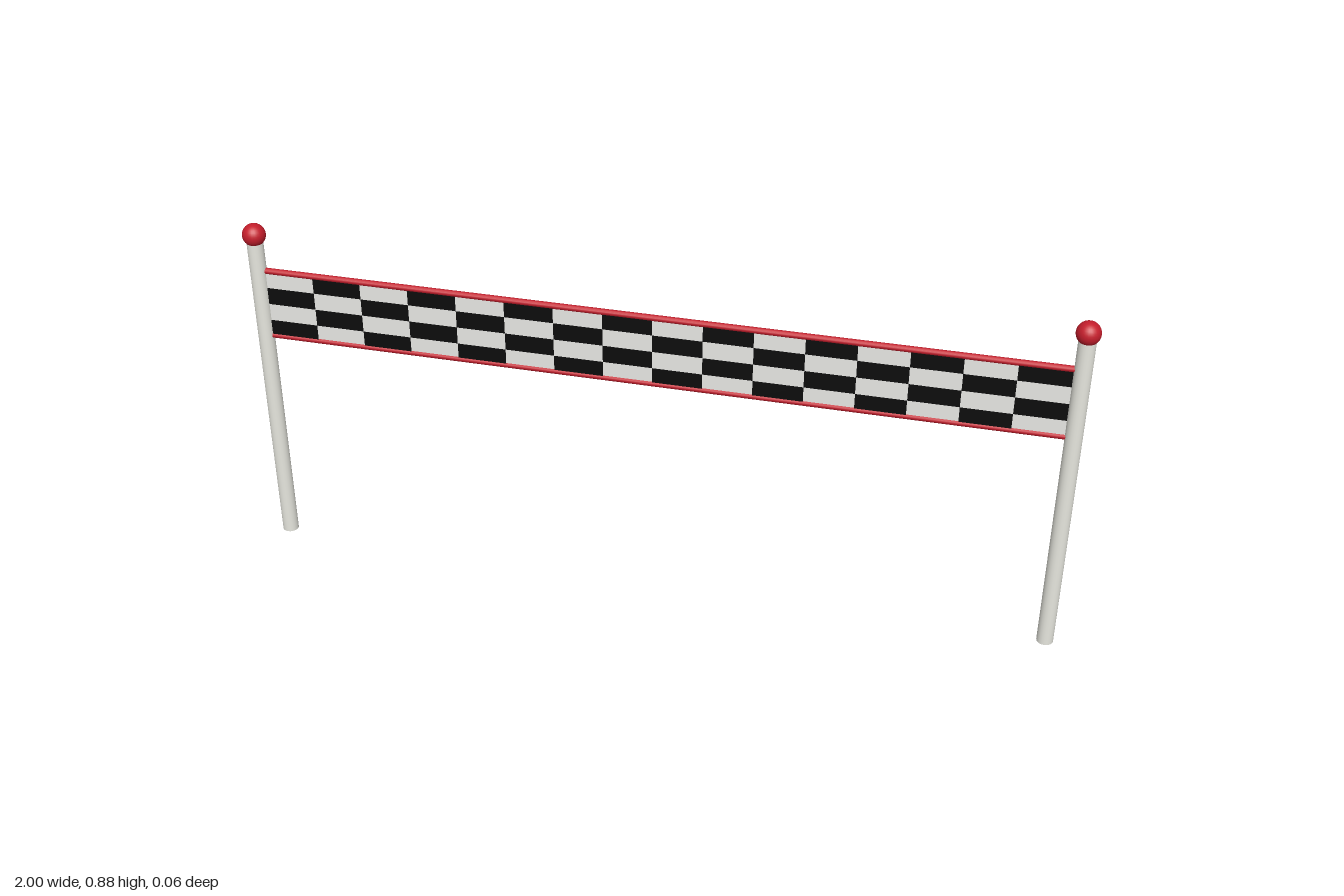
import * as THREE from 'three';
import { mergeGeometries } from 'three/addons/utils/BufferGeometryUtils.js';

const mat = (name, color) => {
  const m = new THREE.MeshStandardMaterial({ color });
  m.name = name;
  return m;
};

export function createModel() {
  const group = new THREE.Group();
  group.name = 'finishBanner';
  const poleWhite = mat('poleWhite', 0xe6e6de);
  const clothWhite = mat('clothWhite', 0xf0f0ec);
  const checkBlack = mat('checkBlack', 0x0c0c0c);
  const red = mat('red', 0xc41e2c);

  const add = (name, geometry, material, x = 0, y = 0, z = 0, parent = group) => {
    const mesh = new THREE.Mesh(geometry, material);
    mesh.name = name;
    mesh.position.set(x, y, z);
    parent.add(mesh);
    return mesh;
  };

  // Poles with ball finials
  const poleX = 0.972, poleH = 0.84, ballR = 0.028;
  for (const [side, s] of [['right', -1], ['left', 1]]) {
    add(side + 'Pole', new THREE.CylinderGeometry(0.02, 0.02, poleH, 20), poleWhite, s * poleX, poleH / 2);
    add(side + 'Finial', new THREE.SphereGeometry(ballR, 24, 16), red, s * poleX, 0.853);
  }

  // Cloth panel
  const W = 1.904, H = 0.176, midY = 0.671, depth = 0.008;
  add('bannerCloth', new THREE.BoxGeometry(W, H, depth), clothWhite, 0, midY);

  // Red edging cords along the top and bottom
  for (const [name, s] of [['topCord', 1], ['bottomCord', -1]]) {
    const cord = new THREE.CylinderGeometry(0.0075, 0.0075, W + 0.02, 12).rotateZ(Math.PI / 2);
    add(name, cord, red, 0, midY + s * H / 2);
  }

  // Black checks, same pattern as seen from either face
  const cols = 16, rows = 4, cw = W / cols, rh = H / rows;
  const squares = [];
  for (let r = 0; r < rows; r++) {
    for (let c = 0; c < cols; c++) {
      if ((r + c) % 2 === 0) continue;
      squares.push(new THREE.PlaneGeometry(cw, rh)
        .translate((c + 0.5) * cw - W / 2, H / 2 - (r + 0.5) * rh, depth / 2 + 0.001));
    }
  }
  const checks = mergeGeometries(squares);
  add('frontChecks', checks, checkBlack, 0, midY);
  add('backChecks', checks, checkBlack, 0, midY).rotation.y = Math.PI;

  return group;
}
